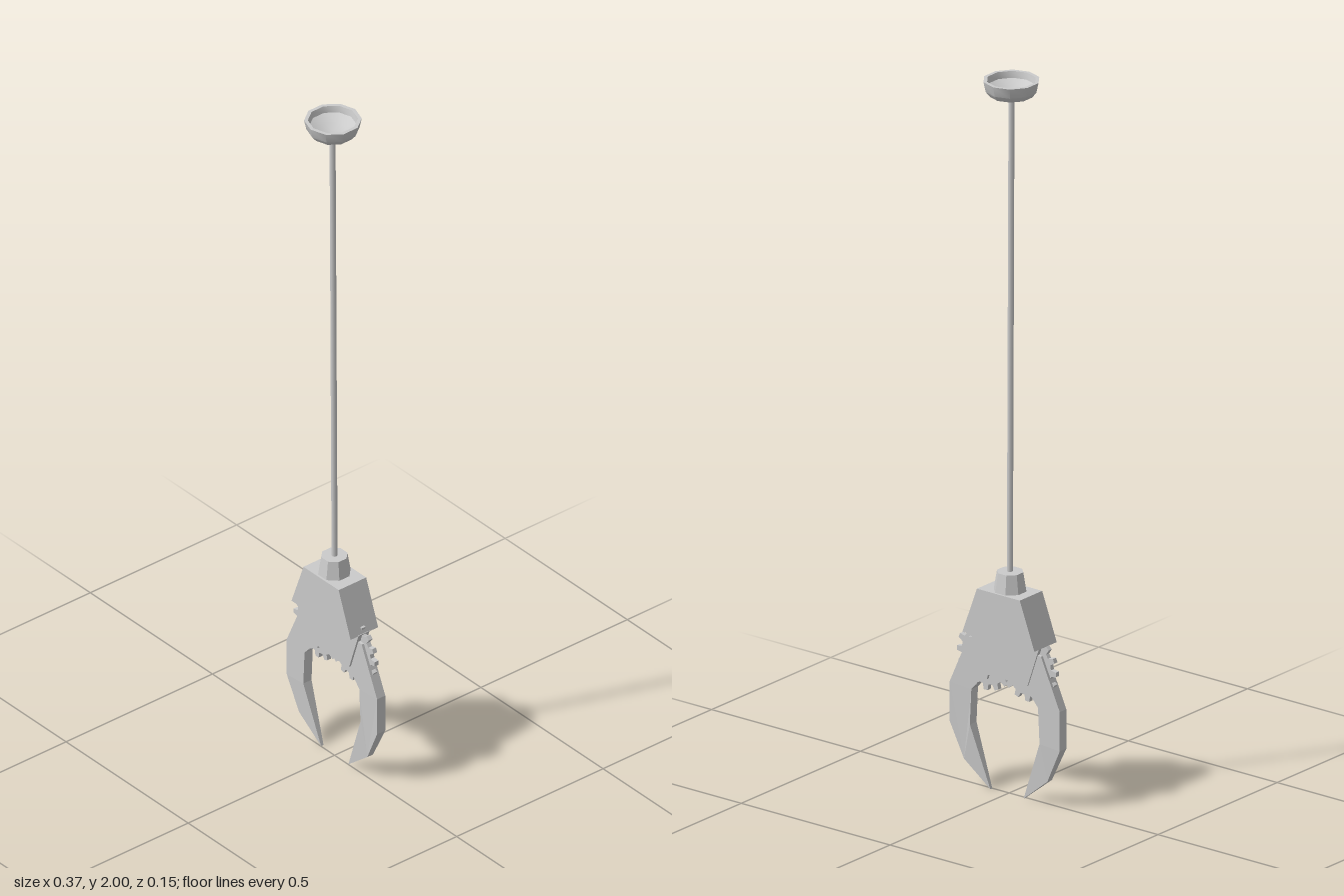
import * as THREE from 'three';
import { toCreasedNormals } from 'three/addons/utils/BufferGeometryUtils.js';

const grey = new THREE.MeshStandardMaterial({ color: 0xcccccc });
const flat = new THREE.MeshStandardMaterial({ color: 0xcccccc, flatShading: true });

// Extrude an outline in x/y to a slab centred on z
function slab(points, depth, z) {
  const shape = new THREE.Shape(points.map(([x, y]) => new THREE.Vector2(x, y)));
  const geo = new THREE.ExtrudeGeometry(shape, { depth, bevelEnabled: false });
  return geo.translate(0, 0, z - depth / 2);
}

function gearOutline(cx, cy, root, tip, teeth, side) {
  const points = [];
  const step = (Math.PI * 2) / teeth;
  for (let i = 0; i < teeth; i++) {
    for (const [t, r] of [[-0.3, root], [-0.17, tip], [0.17, tip], [0.3, root]]) {
      const a = (i + t) * step;
      points.push([side * (cx + r * Math.cos(a)), cy + r * Math.sin(a)]);
    }
  }
  return points;
}

export function createModel() {
  const group = new THREE.Group();
  const add = (name, geo, material = flat) => {
    const mesh = new THREE.Mesh(geo, material);
    mesh.name = name;
    group.add(mesh);
    return mesh;
  };
  const midX = -0.006, midZ = -0.006;

  // Open ten-sided cup at the top
  const cupProfile = [[0, 1.953], [0.058, 1.957], [0.07, 1.972], [0.076, 2],
    [0.066, 2], [0.062, 1.982], [0.035, 1.968], [0, 1.964]];
  const cup = new THREE.LatheGeometry(cupProfile.map(([x, y]) => new THREE.Vector2(x, y)), 10);
  add('ceilingCup', toCreasedNormals(cup, 0.7).translate(-0.009, 0, -0.002), grey);

  // Long thin rod, leaning very slightly
  const rodPath = new THREE.LineCurve3(
    new THREE.Vector3(-0.007, 0.6, midZ), new THREE.Vector3(-0.007, 1.96, 0.001));
  add('rod', new THREE.TubeGeometry(rodPath, 1, 0.008, 8, false), grey);

  // Collar where the rod enters the body
  const collar = new THREE.CylinderGeometry(0.036, 0.05, 0.085, 8);
  collar.rotateY(Math.PI / 8).translate(midX - 0.002, 0.5825, midZ);
  add('collar', collar);

  // Tapered main body
  add('body', slab([[-0.127, 0.44], [0.115, 0.44], [0.066, 0.572], [-0.078, 0.572]], 0.094, midZ));

  // Thinner plate over the gears
  add('gearHousing', slab([[-0.08, 0.325], [0.078, 0.325], [0.116, 0.442], [-0.12, 0.442]], 0.038, -0.004));

  // Gears and pincers, mirrored left and right
  const claw = [[0.056, 0], [0.14, 0.068], [0.185, 0.165], [0.185, 0.275], [0.122, 0.415],
    [0.06, 0.425], [0.045, 0.36], [0.06, 0.31], [0.09, 0.295], [0.112, 0.27], [0.117, 0.17]];
  for (const side of [1, -1]) {
    const label = side > 0 ? 'left' : 'right';
    add(label + 'Gear', slab(gearOutline(0.07, 0.372, 0.08, 0.096, 16, side), 0.013, -0.005));

    // Pincer gets thinner towards its tip
    const geo = slab(claw.map(([x, y]) => [side * x, y]), 0.028, 0);
    const pos = geo.attributes.position;
    for (let i = 0; i < pos.count; i++) {
      const k = Math.min(1, 0.3 + pos.getY(i) * 6);
      pos.setZ(i, pos.getZ(i) * k - 0.005);
    }
    geo.computeVertexNormals();
    add(label + 'Pincer', geo);
  }
  return group;
}
